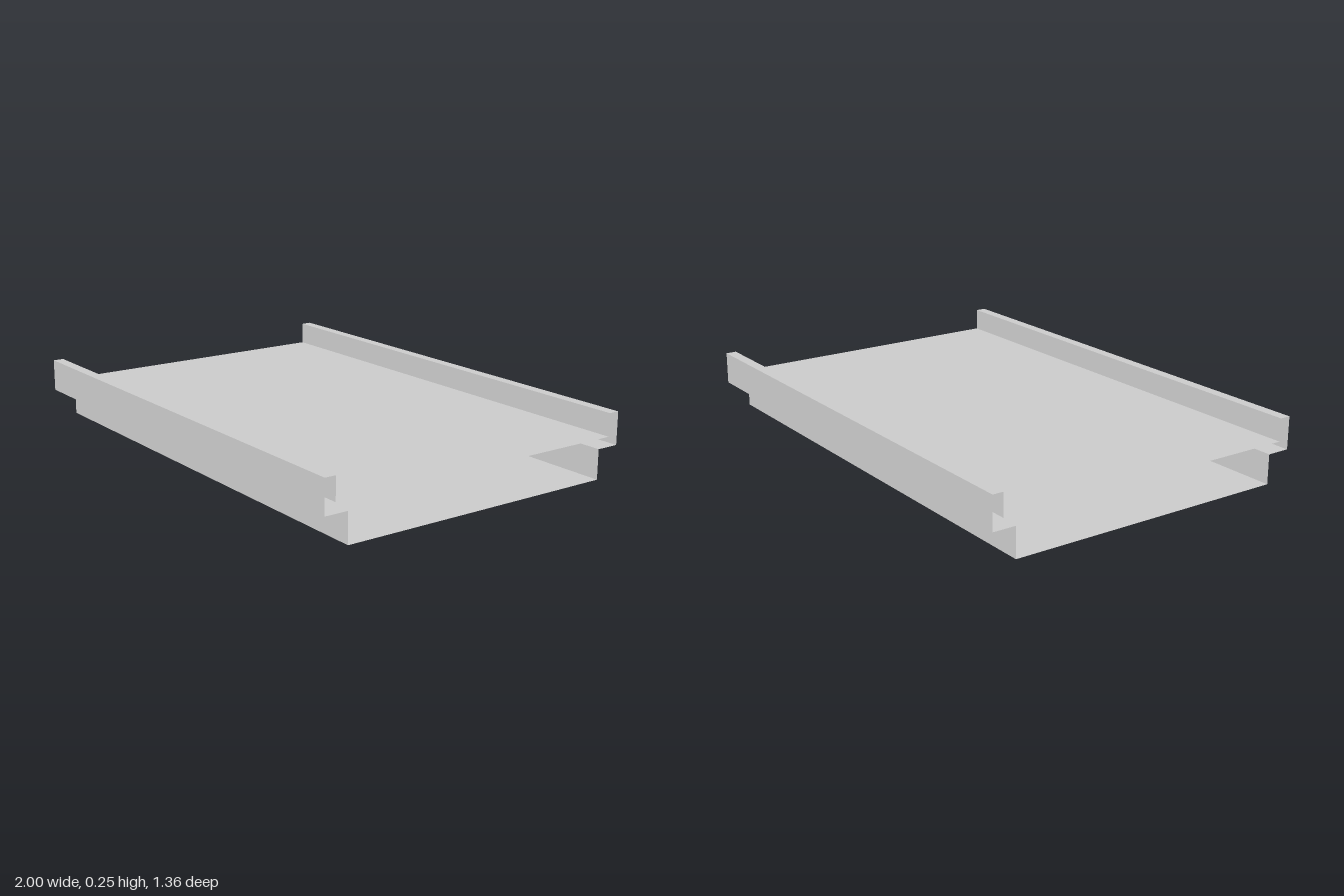
import * as THREE from 'three';

const LENGTH = 2;
const TOP = 0.252, DECK = 0.16, LEDGE = 0.12;
const OUTER = 0.682, INNER = 0.638, LOWER = 0.587;

export function createModel() {
  const group = new THREE.Group();
  group.name = 'trayPanel';
  const material = new THREE.MeshStandardMaterial({
    color: 0xcccccc, flatShading: true, side: THREE.DoubleSide,
  });

  // Thin sheet running the full length along x, between two [z, y] profile points
  function sheet(name, [z0, y0], [z1, y1]) {
    const h = LENGTH / 2;
    const geometry = new THREE.BufferGeometry();
    geometry.setAttribute('position', new THREE.Float32BufferAttribute(
      [-h, y0, z0, h, y0, z0, h, y1, z1, -h, y1, z1], 3));
    geometry.setIndex([0, 1, 2, 0, 2, 3]);
    geometry.computeVertexNormals();
    const mesh = new THREE.Mesh(geometry, material);
    mesh.name = name;
    group.add(mesh);
  }

  // Base and raised deck, open at both ends
  sheet('base', [LOWER, 0], [-LOWER, 0]);
  sheet('deck', [INNER, DECK], [-INNER, DECK]);

  // Stepped side rails, front and back, with normals facing outwards
  const rail = [[LOWER, 0], [LOWER, LEDGE], [OUTER, LEDGE], [OUTER, TOP], [INNER, TOP], [INNER, DECK]];
  const parts = ['LowerWall', 'Ledge', 'OuterWall', 'TopLip', 'InnerWall'];
  for (const [side, s] of [['front', 1], ['back', -1]]) {
    parts.forEach((part, i) => {
      const a = [s * rail[i][0], rail[i][1]];
      const b = [s * rail[i + 1][0], rail[i + 1][1]];
      if (s > 0) sheet(side + part, a, b);
      else sheet(side + part, b, a);
    });
  }
  // The base runs from front to back, so flip it to face down
  const base = group.getObjectByName('base');
  base.geometry.setIndex([0, 2, 1, 0, 3, 2]);
  base.geometry.computeVertexNormals();
  return group;
}
